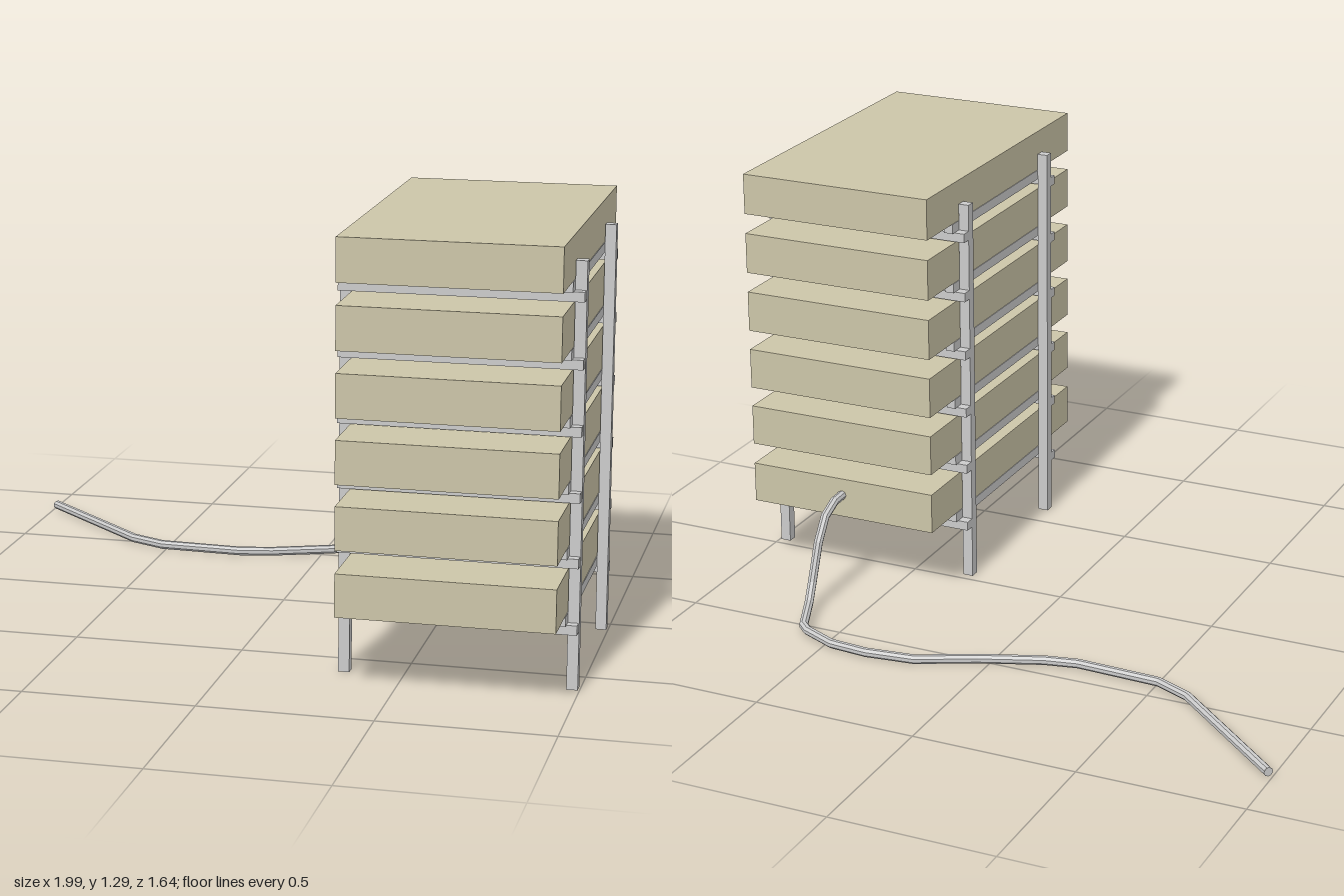
import * as THREE from 'three';

const grey = new THREE.MeshStandardMaterial({ color: 0xcccccc, flatShading: true });
const tan = new THREE.MeshStandardMaterial({ color: 0xccc5a8, flatShading: true });

// Axis-aligned box given by its extents on each axis
function block(parent, name, [x0, x1], [y0, y1], [z0, z1], material = grey) {
  const mesh = new THREE.Mesh(new THREE.BoxGeometry(x1 - x0, y1 - y0, z1 - z0), material);
  mesh.position.set((x0 + x1) / 2, (y0 + y1) / 2, (z0 + z1) / 2);
  mesh.name = name;
  parent.add(mesh);
}

// Faceted cable whose rings sit exactly on the given points
function buildCable(points, radius, sides) {
  const cable = new THREE.Group();
  cable.name = 'cable';
  const curve = new THREE.CatmullRomCurve3(points);
  curve.getPointAt = (t, target) => curve.getPoint(t, target);
  curve.getTangentAt = (t, target) => curve.getTangent(t, target);
  const tube = new THREE.Mesh(new THREE.TubeGeometry(curve, points.length - 1, radius, sides), grey);
  tube.name = 'cableTube';
  cable.add(tube);
  for (const t of [0, 1]) {
    const cap = new THREE.Mesh(new THREE.CircleGeometry(radius, sides), grey);
    const outward = curve.getTangent(t).multiplyScalar(t ? 1 : -1);
    cap.position.copy(curve.getPoint(t));
    cap.quaternion.setFromUnitVectors(new THREE.Vector3(0, 0, 1), outward);
    cap.name = 'cableEnd';
    cable.add(cap);
  }
  return cable;
}

export function createModel() {
  const model = new THREE.Group();
  model.name = 'stackedRack';

  // Four upright posts
  const postX = [[0.313, 0.345], [0.963, 0.995]];
  const postZ = [[0.027, 0.058], [0.588, 0.619]];
  for (const x of postX) for (const z of postZ) block(model, 'post', x, [0, 1.213], z);

  // Each tier: a slab on two side rails, resting on a front and a back crossbar
  [0.224, 0.415, 0.601, 0.787, 0.974, 1.161].forEach((bottom, i) => {
    const tier = new THREE.Group();
    tier.name = `tier${i + 1}`;
    block(tier, 'slab', [0.347, 0.961], [bottom, bottom + 0.125], [-0.18, 0.82], tan);
    for (const x of [[0.345, 0.373], [0.935, 0.963]]) {
      block(tier, 'sideRail', x, [bottom - 0.029, bottom], [-0.016, 0.66]);
    }
    for (const z of [[-0.004, 0.027], [0.619, 0.645]]) {
      block(tier, 'crossbar', [0.313, 0.993], [bottom - 0.057, bottom - 0.029], z);
    }
    model.add(tier);
  });

  // Cable dropping from the lowest slab and winding along the floor
  const path = [
    [0.655, 0.296, -0.17], [0.655, 0.294, -0.23], [0.655, 0.268, -0.29], [0.655, 0.2, -0.337],
    [0.655, 0.085, -0.383], [0.642, 0.04, -0.43], [0.6, 0.022, -0.54], [0.575, 0.018, -0.56],
    [0.47, 0.016, -0.605], [0.35, 0.016, -0.615], [0.2, 0.016, -0.597], [0.03, 0.016, -0.515],
    [-0.15, 0.016, -0.445], [-0.25, 0.016, -0.424], [-0.51, 0.016, -0.435],
    [-0.62, 0.016, -0.485], [-0.99, 0.016, -0.81],
  ].map((p) => new THREE.Vector3(...p));
  model.add(buildCable(path, 0.014, 8));

  return model;
}
